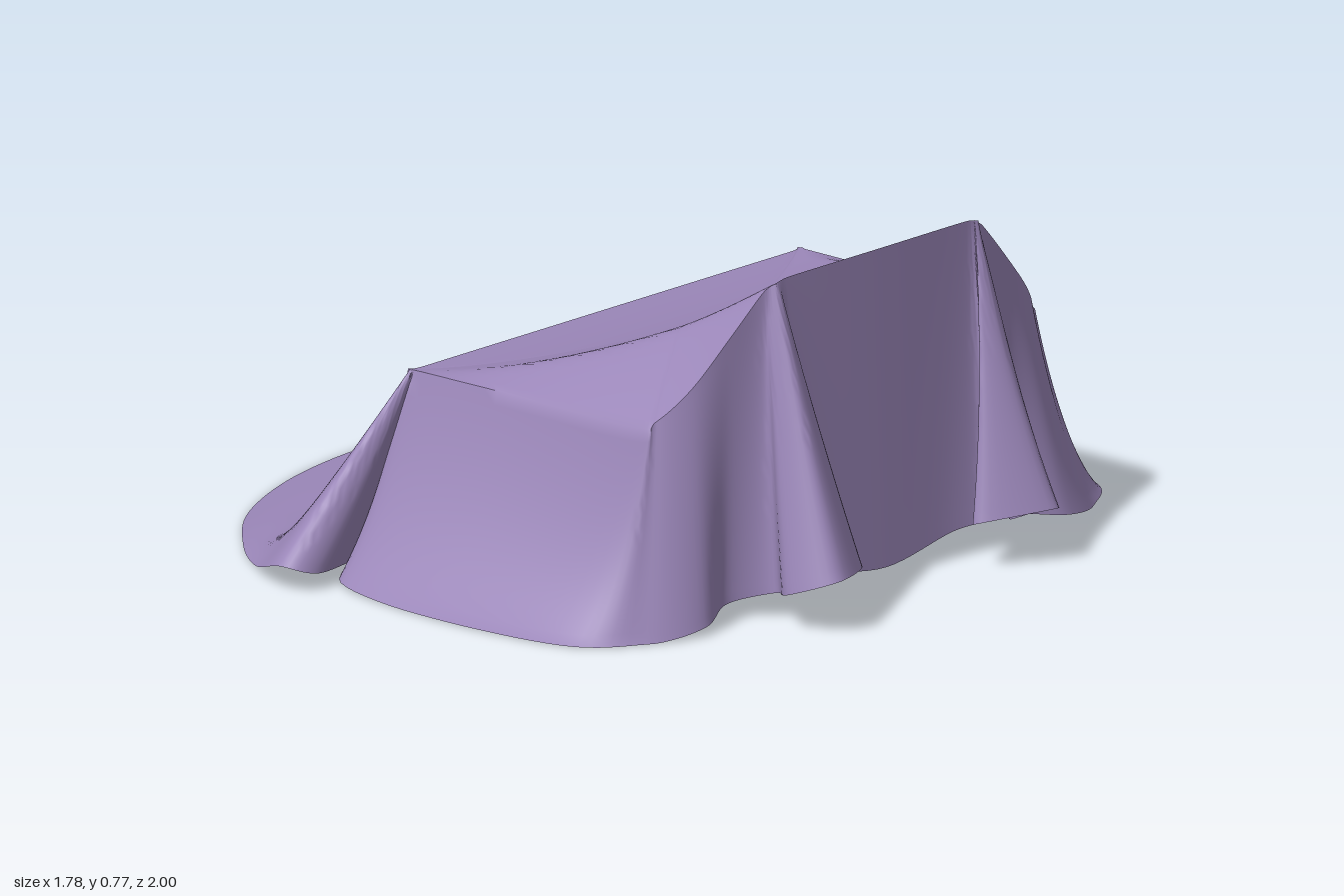
import * as THREE from 'three';
import { toCreasedNormals } from 'three/addons/utils/BufferGeometryUtils.js';

const purple = new THREE.MeshStandardMaterial({ color: 0x9a86b8, side: THREE.DoubleSide });
const grey = new THREE.MeshStandardMaterial({ color: 0xcccccc });
const { clamp, lerp } = THREE.MathUtils;

// Height of the stretched cloth over the chair: level with the arms, rising to the back,
// with a soft crease from each front corner to the top of the back.
function topHeight(x, z) {
  const u = clamp((x + 0.2) / 0.83, 0, 1);
  const crease = lerp(0.63, 0.345, u);
  const v = (0.645 - Math.abs(z)) / (0.645 - crease);
  const w = Math.max(0, (v + 1 - Math.sqrt((v - 1) ** 2 + 0.008)) / 2);
  return 0.46 + 0.315 * Math.pow(u, 1.5) * w;
}

// Half of the hanging cloth, front centre to back centre.
// Each column: ridge x, z; hem x, y, z; tautness (0 sweeps out over the floor, 1 hangs straight).
const columns = [
  [-0.2, 0, -0.9, 0, 0, 0],
  [-0.2, 0.28, -0.86, 0, 0.32, 0],
  [-0.2, 0.5, -0.745, 0, 0.6, 0.05],
  [-0.2, 0.61, -0.585, 0, 0.79, 0.35],
  // front corner flap, folded back on itself
  [-0.205, 0.64, -0.42, 0.015, 0.925, 0.85],
  [-0.205, 0.647, -0.28, 0.06, 1, 1],
  [-0.2, 0.647, -0.22, 0.04, 0.93, 0.9],
  [-0.195, 0.645, -0.26, 0.03, 0.73, 1],
  [-0.19, 0.643, -0.2, 0.01, 0.88, 0.6],
  // side panel
  [0.1, 0.64, 0.12, 0, 0.92, 0.5],
  [0.48, 0.64, 0.48, 0, 0.875, 0.5],
  // rear corner folds
  [0.53, 0.62, 0.61, 0, 0.74, 0.7],
  [0.575, 0.55, 0.66, 0.02, 0.6, 0.8],
  [0.6, 0.45, 0.615, 0.04, 0.48, 0.9],
  [0.615, 0.37, 0.68, 0.06, 0.39, 0.9],
  [0.62, 0.345, 0.78, 0.09, 0.455, 0.9],
  [0.63, 0.335, 0.885, 0.13, 0.39, 0.95],
  [0.63, 0.325, 0.79, 0.11, 0.225, 0.95],
  [0.63, 0.315, 0.69, 0.075, 0.31, 1],
  // back panel
  [0.63, 0.27, 0.66, 0.065, 0.22, 1],
  [0.635, 0, 0.66, 0.03, 0, 1],
];

function clothGeometry() {
  const half = columns.map(([rx, rz, hx, hy, hz, taut]) => {
    const ridge = new THREE.Vector3(rx, topHeight(rx, rz), rz);
    const hem = new THREE.Vector3(hx, hy, hz);
    const control = ridge.clone().lerp(hem, lerp(0.25, 0.5, taut));
    control.y = taut * (ridge.y + hem.y) / 2;
    return [ridge, control, hem];
  });
  // mirror the half, with slightly different fold tips on the far side
  const flip = half.slice(1, -1).reverse().map(col => col.map(p => {
    const q = new THREE.Vector3(p.x, p.y, -p.z);
    if (p.x > 0.75) { q.x -= 0.03; q.z += 0.04; }
    if (p.z > 0.99) q.x -= 0.04;
    return q;
  }));
  const all = [...half, ...flip];
  const [ridge, control, hem] = [0, 1, 2].map(k =>
    new THREE.CatmullRomCurve3(all.map(c => c[k]), true, 'catmullrom', 0.5));

  const around = all.length * 8, topRows = 32, rows = 54;
  const pos = [], index = [];
  for (let r = 0; r <= rows; r++) {
    for (let i = 0; i < around; i++) {
      const t = i / around, a = ridge.getPoint(t);
      if (r <= topRows) {
        // stretched top, sagging towards the middle
        const s = r / topRows, x = lerp(0.2, a.x, s), z = a.z * s;
        pos.push(x, s === 1 ? a.y : topHeight(x, z) - 0.03 * (1 - s * s), z);
      } else {
        // hanging skirt
        const s = (r - topRows) / (rows - topRows);
        const p = new THREE.QuadraticBezierCurve3(a, control.getPoint(t), hem.getPoint(t)).getPoint(s);
        pos.push(p.x, Math.max(p.y, 0.002), p.z);
      }
    }
  }
  for (let r = 0; r < rows; r++) {
    for (let i = 0; i < around; i++) {
      const a = r * around + i, b = r * around + (i + 1) % around;
      const c = a + around, d = b + around;
      if (r > 0) index.push(a, d, b);
      index.push(a, c, d);
    }
  }
  const g = new THREE.BufferGeometry();
  g.setAttribute('position', new THREE.Float32BufferAttribute(pos, 3));
  g.setIndex(index);
  return toCreasedNormals(g, 0.9);
}

// Solid of constant cross-section, centred along its depth.
function slab(name, points, depth, bevel) {
  const shape = new THREE.Shape(points.map(p => new THREE.Vector2(...p)));
  const g = new THREE.ExtrudeGeometry(shape, {
    depth: depth - 2 * bevel, bevelEnabled: bevel > 0, bevelSize: bevel,
    bevelOffset: -bevel, bevelThickness: bevel, bevelSegments: 1 });
  g.translate(0, 0, bevel - depth / 2);
  const m = new THREE.Mesh(g, grey);
  m.name = name;
  return m;
}

export function createModel() {
  const model = new THREE.Group();
  model.name = 'coveredArmchair';

  const cloth = new THREE.Mesh(clothGeometry(), purple);
  cloth.name = 'drapedCloth';
  model.add(cloth);

  // armchair under the cloth
  const chair = new THREE.Group();
  chair.name = 'armchair';

  // seat and both arms as one U-shaped body, running front to back along x
  const body = slab('seatAndArms', [
    [-0.53, 0], [0.53, 0], [0.58, 0.04], [0.58, 0.42], [0.38, 0.42],
    [0.38, 0.28], [-0.38, 0.28], [-0.38, 0.42], [-0.58, 0.42], [-0.58, 0.04],
  ], 0.71, 0.015);
  body.rotation.y = Math.PI / 2;
  body.position.x = 0.17;

  chair.add(
    body,
    // leaning backrest
    slab('backrest', [[0.38, 0.1], [0.56, 0.1], [0.59, 0.68], [0.55, 0.68], [0.4, 0.54]], 0.6, 0.015),
    // sloping footrest in front of the seat
    slab('footrest', [[-0.5, 0], [-0.15, 0], [-0.15, 0.28], [-0.2, 0.28], [-0.42, 0.08], [-0.5, 0.05]], 0.44, 0),
  );
  model.add(chair);
  return model;
}
